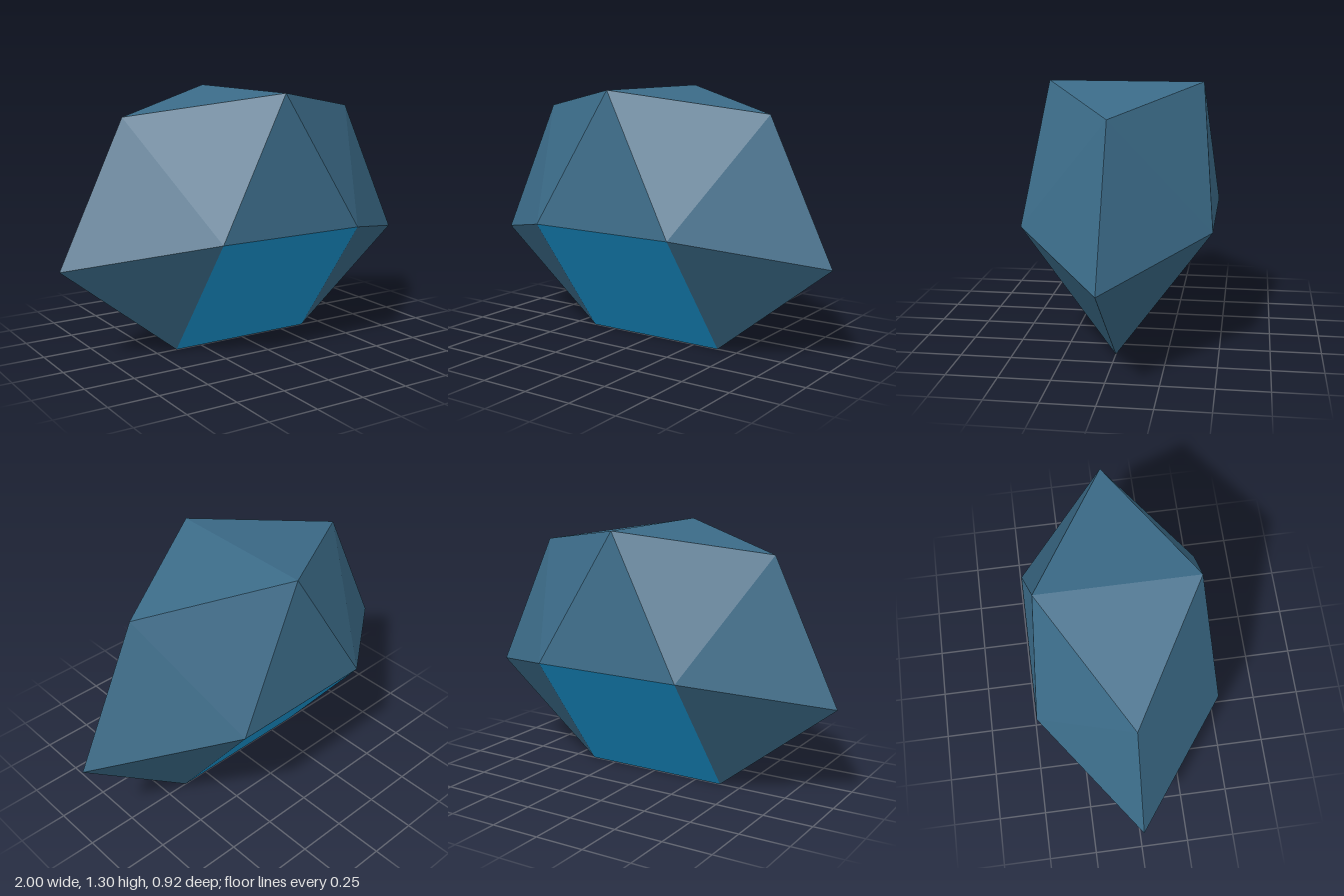
import * as THREE from 'three';

// Flat-faced mesh from named corner triangles
function facetMesh(name, triangles, material) {
  const geometry = new THREE.BufferGeometry().setFromPoints(
    triangles.flat().map((p) => new THREE.Vector3(...p)));
  geometry.computeVertexNormals();
  const mesh = new THREE.Mesh(geometry, material);
  mesh.name = name;
  return mesh;
}

export function createModel() {
  const slate = new THREE.MeshStandardMaterial({ color: 0x3b6b88, flatShading: true });
  slate.name = 'slate blue';
  const blue = new THREE.MeshStandardMaterial({ color: 0x1997d5, flatShading: true });
  blue.name = 'bright blue';

  // Corners of the front half, on the left side (+x)
  const keel = [0.39, 0, 0];
  const tip = [1, 0.487, 0];
  const shoulder = [0.663, 1.19, 0];
  const waist = [0.39, 0.629, 0.462];
  const peak = [0, 1.3, 0.39];
  const backPeak = [0, 1.3, -0.39];
  const flip = ([x, y, z]) => [-x, y, z];
  const mirror = (tris) => tris.map((t) => t.map(flip).reverse());

  const upper = [[tip, shoulder, waist], [shoulder, peak, waist]];
  const lower = [[tip, waist, keel]];

  const model = new THREE.Group();
  model.name = 'facetedGem';

  // The back half is the front half turned half way round
  for (const [side, angle] of [['front', 0], ['back', Math.PI]]) {
    const half = new THREE.Group();
    half.name = side + 'Half';
    half.rotation.y = angle;
    half.add(
      facetMesh(side + 'UpperFacets', [...upper, ...mirror(upper)], slate),
      facetMesh(side + 'LowerFacets', [...lower, ...mirror(lower)], slate),
      facetMesh(side + 'CentreFacet', [[flip(waist), waist, peak]], slate),
      facetMesh(side + 'CrownFacet', [[peak, shoulder, backPeak]], slate),
      facetMesh(side + 'SquarePanel', [
        [flip(keel), keel, waist], [flip(keel), waist, flip(waist)],
      ], blue),
    );
    model.add(half);
  }
  return model;
}
